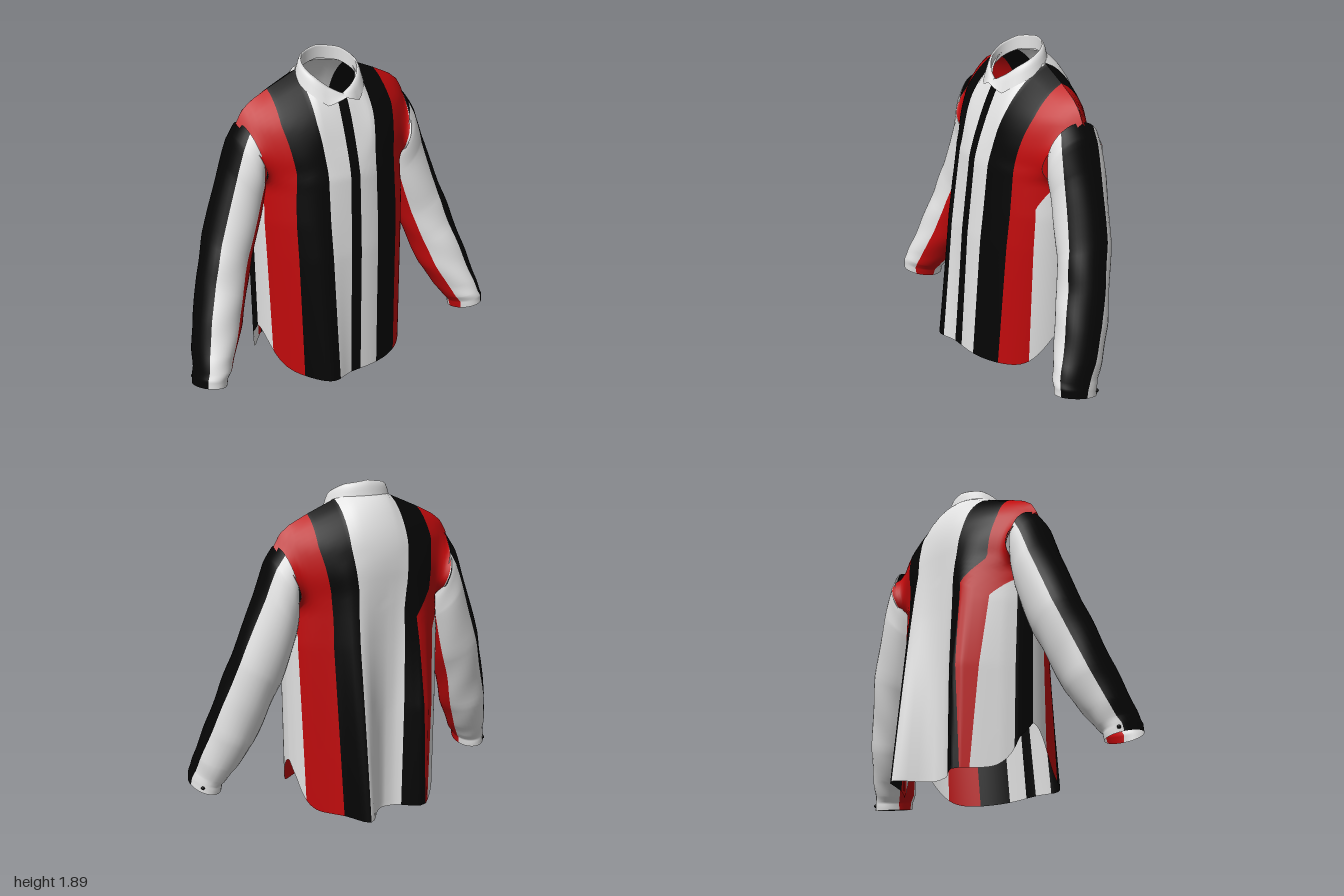
import * as THREE from 'three';

const flat = (name, color) => {
  const m = new THREE.MeshStandardMaterial({ color, side: THREE.DoubleSide });
  m.name = name;
  return m;
};

// Piecewise linear lookup in [key, value] pairs
function look(table, k) {
  if (k <= table[0][0]) return table[0][1];
  for (let i = 1; i < table.length; i++) {
    const [a, va] = table[i - 1], [b, vb] = table[i];
    if (k <= b) return va + (vb - va) * (k - a) / (b - a);
  }
  return table[table.length - 1][1];
}
const mix = THREE.MathUtils.lerp;
const clamp = THREE.MathUtils.clamp;

// Grid surface; every stripe of columns becomes one material group
function stripedSurface(name, colours, perStripe, rows, point) {
  const pos = [], index = [], cols = colours.length * perStripe;
  for (let j = 0; j <= rows; j++)
    for (let i = 0; i <= cols; i++) pos.push(...point(i / perStripe, j / rows));
  const g = new THREE.BufferGeometry();
  const materials = [...new Set(colours)];
  colours.forEach((colour, k) => {
    const start = index.length;
    for (let i = k * perStripe; i < (k + 1) * perStripe; i++)
      for (let j = 0; j < rows; j++) {
        const a = j * (cols + 1) + i, b = a + 1, c = a + cols + 1, d = c + 1;
        index.push(a, b, d, a, d, c);
      }
    g.addGroup(start, index.length - start, materials.indexOf(colour));
  });
  g.setAttribute('position', new THREE.Float32BufferAttribute(pos, 3));
  g.setIndex(index);
  g.computeVertexNormals();
  const mesh = new THREE.Mesh(g, materials);
  mesh.name = name;
  return mesh;
}

// Body measurements by height
const WIDTH = [[0, .46], [.5, .472], [1, .485], [1.2, .475], [1.3, .475], [1.45, .52], [1.56, .56]];
const FRONT = [[.05, .42], [.8, .38], [1.25, .335], [1.43, .29], [1.7, .235]];
const BACK = [[0, .3], [1, .285], [1.4, .285], [1.7, .27]];
const NECK = .175;
const SHOULDER = [[NECK, 1.8], [.35, 1.725], [.46, 1.672], [.52, 1.625], [.56, 1.555]];
// Depth of the folds along the back hem
const FOLDS = [[-1, 0], [-.97, .09], [-.87, .17], [-.7, .27], [-.56, .345], [-.45, .365], [-.33, .33], [-.2, .28], [0, .27],
  [.13, .32], [.25, .405], [.34, .455], [.43, .43], [.55, .3], [.67, .23], [.87, .14], [.97, .07], [1, 0]];
const KEYS = [0, .66, .74, 1];

function bodyPoint(edges, dir) {
  const sAt = (u, t) => {
    const i = Math.min(Math.floor(u), edges.length - 2);
    const angle = (e) => Math.asin(look(KEYS.map((k, n) => [k, e[n]]), t));
    return Math.sin(mix(angle(edges[i]), angle(edges[i + 1]), u - i));
  };
  return (u, t) => {
    const s = sAt(u, t), s0 = Math.abs(sAt(u, 0)), xTop = Math.abs(sAt(u, 1)) * .56;
    const front = dir > 0, n = Math.min(xTop / NECK, 1);
    // Hem, neckline and shoulder line
    const hem = front ? .06 + .23 * s0 ** 14 : .005 + .285 * s0 ** 14;
    const top = n < 1 ? (front ? 1.67 + .13 * n * n : 1.8 + .03 * (1 - n * n)) : look(SHOULDER, xTop);
    const zTop = -.03 + (front ? .205 : -.065) * Math.sqrt(1 - n * n);
    const y = mix(hem, top, t);
    const cos = Math.sqrt(Math.max(0, 1 - s * s));
    let depth;
    if (front) {
      depth = look(FRONT, y) * cos * (1 + .28 * clamp(1 - y / 1.5, 0, 1) * Math.exp(-(((s + .55) / .25) ** 2)));
    } else {
      const k = clamp((1.5 - y) / (s < 0 ? .9 : 1.5), 0, 1);
      depth = mix(look(BACK, y) * cos, look(FOLDS, s), k);
    }
    // Open the sheet edge around the armhole
    const arch = Math.sqrt(Math.max(0, 1 - ((y - 1.385) / .185) ** 2)) * (front ? .21 : .25);
    depth = Math.hypot(depth, arch * Math.abs(s) ** 6);
    const round = 1 - (1 - clamp((top - y) / .4, 0, 1) ** .8) ** 2.2;
    return [s * look(WIDTH, y), y, mix(zTop, dir * depth, round)];
  };
}

// Sleeve rings: centre x, y, z, half width, half depth, tilt, cuff slope (degrees)
const RINGS = [
  [.487, 1.385, -.02, .18, .162, 74, 0], [.512, 1.31, -.02, .185, .17, 64, 0], [.55, 1.175, -.02, .168, .165, 50, 0],
  [.655, .865, .012, .16, .155, 32, 4], [.725, .67, .055, .152, .15, 26, 7], [.79, .48, .11, .145, .153, 20, 10],
  [.85, .32, .17, .122, .145, 15, 12], [.882, .235, .205, .104, .138, 13, 13], [.905, .195, .218, .094, .132, 11, 13],
  [.91, .15, .22, .092, .13, 10, 13],
];
// Stripe edges around each sleeve in degrees from the outer side, at shoulder, elbow and wrist
const SLEEVE_EDGES = {
  left: [[-150, -150, -165], [-38, -25, -7], [40, 66, 68], [136, 140, 150], [210, 210, 195]],
  right: [[-150, -150, -165], [-66, -55, -42], [36, 48, 50], [118, 117, 140], [210, 210, 195]],
};

function sleevePoint(side, t, angle) {
  const r = RINGS[0].map((_, n) => {
    const q = t * (RINGS.length - 1), i = Math.min(Math.floor(q), RINGS.length - 2), f = q - i;
    return mix(RINGS[i][n], RINGS[i + 1][n], f);
  });
  const tilt = r[5] * Math.PI / 180, slope = r[6] * Math.PI / 180;
  const fold = 1 + .035 * Math.sin(t * 26 + angle) * Math.sin(angle * 2 + t * 9) * Math.sin(Math.PI * t);
  const a = Math.cos(angle) * r[3] * fold, b = Math.sin(angle) * r[4] * fold;
  return [side * (r[0] + a * Math.cos(tilt)), r[1] + a * Math.sin(tilt) + b * Math.sin(slope), r[2] + b * Math.cos(slope)];
}

// Collar by angle from the front: height of the top edge and drop of the leaf
const COLLAR_TOP = [[0, 1.69], [.5, 1.735], [1, 1.79], [1.57, 1.835], [2.3, 1.88], [3.15, 1.9]];
const COLLAR_DROP = [[0, .015], [.52, .1], [1.57, .088], [3.15, .1]];

export function createModel() {
  const black = flat('black cloth', 0x050505);
  const red = flat('red cloth', 0xc00a0c);
  const white = flat('white cloth', 0xe2e2e2);
  const shirt = new THREE.Group();
  shirt.name = 'shirt';

  // Front panel with the dark button placket
  const frontEdges = [
    [-1, -1, -1, -1], [-.95, -.96, -.99, -1], [-.74, -.72, -.7, -.64], [-.39, -.37, -.36, -.32], [-.19, -.09, -.08, -.054],
    [-.04, .04, .048, .054], [.22, .3, .31, .34], [.59, .65, .655, .625], [.87, .87, .97, 1], [1, 1, 1, 1],
  ];
  shirt.add(stripedSurface('frontPanel', [white, red, black, white, black, white, black, red, white], 8, 64, bodyPoint(frontEdges, 1)));

  // Back panel, listed from left to right so it faces backwards
  const backEdges = [
    [1, 1, 1, 1], [.9, .93, .99, 1], [.56, .61, .63, .625], [.36, .35, .33, .32],
    [-.25, -.28, -.32, -.32], [-.55, -.43, -.72, -.64], [-.63, -.74, -.98, -1], [-.94, -.95, -.99, -1], [-1, -1, -1, -1],
  ];
  shirt.add(stripedSurface('backPanel', [white, red, black, white, black, red, white, black], 9, 64, bodyPoint(backEdges, -1)));

  // Sleeves and cuff buttons
  for (const side of [1, -1]) {
    const label = side > 0 ? 'left' : 'right', edges = SLEEVE_EDGES[label];
    shirt.add(stripedSurface(label + 'Sleeve', [white, black, white, red], 10, 54, (u, v) => {
      const t = side > 0 ? 1 - v : v;
      const i = Math.min(Math.floor(u), 3);
      const edge = (e) => look([[0, e[0]], [.4, e[1]], [1, e[2]]], t);
      const angle = mix(edge(edges[i]), edge(edges[i + 1]), u - i) * Math.PI / 180;
      return sleevePoint(side, t, angle);
    }));
    const button = new THREE.Mesh(new THREE.SphereGeometry(.011, 12, 8), black);
    button.name = label + 'CuffButton';
    button.position.set(...sleevePoint(side, .93, -.95));
    shirt.add(button);
  }

  // Collar: inner stand, rolled top edge and outer leaf with two points at the front
  shirt.add(stripedSurface('collar', [white], 72, 12, (u, v) => {
    const a = u * Math.PI * 2, c = Math.cos(a), s = Math.sin(a);
    const fromFront = Math.min(a, Math.PI * 2 - a);
    const top = look(COLLAR_TOP, fromFront), drop = look(COLLAR_DROP, fromFront);
    if (v < .5) {
      const k = v * 2;
      return [.164 * s, top - Math.min(drop, .08) * (1 - k), .045 + .134 * c];
    }
    const k = (v - .5) * 2, out = Math.min(1, k * 4);
    return [(.164 + .012 * out + .026 * k) * s, top + .006 * Math.sin(Math.PI * out) - drop * k,
      .045 + (.134 + .012 * out + (c > 0 ? .034 : .02) * k) * c];
  }));
  return shirt;
}
